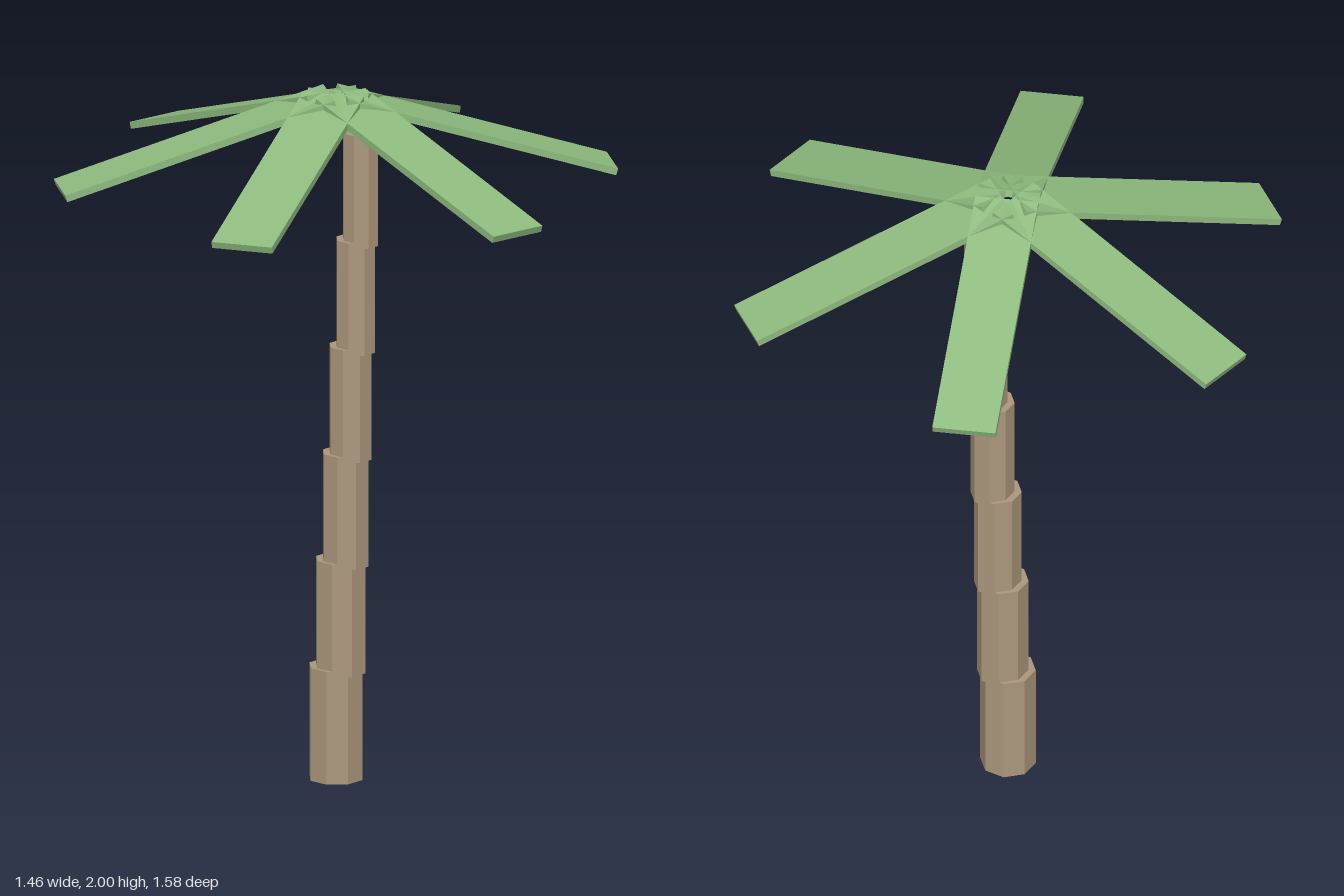
import * as THREE from 'three';

export function createModel() {
  const tree = new THREE.Group();
  tree.name = 'palmTree';

  const bark = new THREE.MeshStandardMaterial({ color: 0xad987d, flatShading: true });
  bark.name = 'bark';
  const leaf = new THREE.MeshStandardMaterial({ color: 0x8ebb7e, flatShading: true });
  leaf.name = 'leafGreen';

  // Trunk: overlapping eight-sided segments, each thinner and shifted sideways
  const trunk = new THREE.Group();
  trunk.name = 'trunk';
  const step = 0.3125, height = 0.329;
  for (let i = 0; i < 6; i++) {
    const radius = 0.079 - 0.0054 * i;
    const segment = new THREE.Mesh(new THREE.CylinderGeometry(radius, radius, height, 8), bark);
    segment.name = `trunkSegment${i + 1}`;
    segment.position.set(0.0146 * i, step * i + height / 2, 0);
    trunk.add(segment);
  }
  tree.add(trunk);

  // Crown: six drooping slabs around a small central gap
  const crown = new THREE.Group();
  crown.name = 'crown';
  const length = 0.806, thickness = 0.02;
  const frond = new THREE.BoxGeometry(0.18, thickness, length);
  frond.translate(0, -thickness / 2, length / 2); // pivot on the inner top edge
  frond.rotateX(0.3);
  frond.translate(0, 2, 0.02);
  for (let i = 0; i < 6; i++) {
    const mesh = new THREE.Mesh(frond, leaf);
    mesh.name = `frond${i + 1}`;
    mesh.rotation.y = (i * Math.PI) / 3;
    crown.add(mesh);
  }
  tree.add(crown);

  return tree;
}
